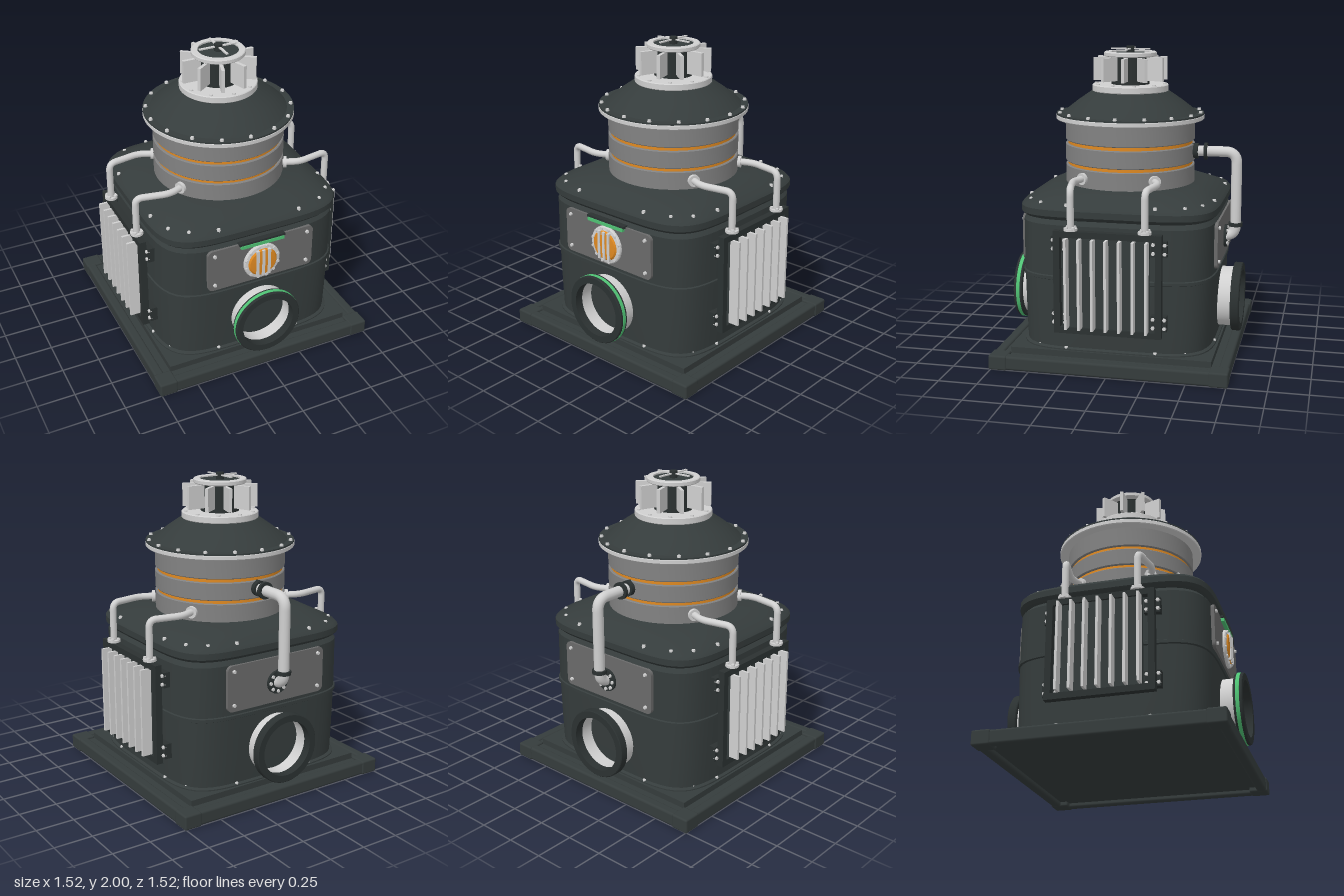
import * as THREE from 'three';
import { toCreasedNormals } from 'three/addons/utils/BufferGeometryUtils.js';
import { RoundedBoxGeometry } from 'three/addons/geometries/RoundedBoxGeometry.js';

const mat = (name, color) => Object.assign(new THREE.MeshStandardMaterial({ color }), { name });

export function createModel() {
  const M = {
    dark: mat('dark green grey', 0x353c3c),
    black: mat('charcoal', 0x2b3131),
    panel: mat('panel grey', 0x6a6a6a),
    drum: mat('drum grey', 0x828282),
    light: mat('light metal', 0xd0d0d0),
    orange: mat('orange', 0xe08a22),
    green: mat('green', 0x4fc274),
  };
  const root = new THREE.Group();
  root.name = 'machine';
  const group = (name, parent = root) => {
    const g = new THREE.Group();
    g.name = name;
    parent.add(g);
    return g;
  };
  const add = (parent, name, geo, m, x = 0, y = 0, z = 0) => {
    const mesh = new THREE.Mesh(geo, m);
    mesh.name = name;
    mesh.position.set(x, y, z);
    parent.add(mesh);
    return mesh;
  };
  const box = (p, name, m, w, h, d, x, y, z) => add(p, name, new THREE.BoxGeometry(w, h, d), m, x, y, z);
  const softBox = (p, name, m, w, h, d, r, x, y, z) => add(p, name, new RoundedBoxGeometry(w, h, d, 3, r), m, x, y, z);
  const lathe = (p, name, m, pts, seg = 64) =>
    add(p, name, toCreasedNormals(new THREE.LatheGeometry(pts.map(q => new THREE.Vector2(...q)), seg), 0.5), m);
  const ringPts = (ri, ro, a, b, c = 0.005) =>
    [[ri, a], [ro - c, a], [ro, a + c], [ro, b - c], [ro - c, b], [ri, b], [ri, a]];
  const UP = new THREE.Vector3(0, 1, 0);
  const aim = (mesh, dir) => { mesh.quaternion.setFromUnitVectors(UP, dir.clone().normalize()); return mesh; };
  const boltGeo = new THREE.CylinderGeometry(0.011, 0.015, 0.022, 6);
  const bolt = (p, x, y, z, dir = UP) => aim(add(p, 'bolt', boltGeo, M.light, x, y, z), dir);

  // Rounded-square shell from horizontal sections [half width, y, squareness]
  const corner = (t, h, n = 5) => {
    const c = Math.cos(t), s = Math.sin(t);
    const r = h / Math.pow(Math.abs(c) ** n + Math.abs(s) ** n, 1 / n);
    return [r * c, r * s];
  };
  const loft = (p, name, m, sections) => {
    const pos = [], idx = [], N = 96;
    sections.forEach(([h, y, n], i) => {
      for (let j = 0; j <= N; j++) {
        const [x, z] = corner(j / N * Math.PI * 2, h, n);
        pos.push(x, y, z);
        if (i && j < N) {
          const c = i * (N + 1) + j, a = c - N - 1;
          idx.push(a, c, a + 1, a + 1, c, c + 1);
        }
      }
    });
    const g = new THREE.BufferGeometry();
    g.setAttribute('position', new THREE.Float32BufferAttribute(pos, 3));
    g.setIndex(idx);
    return add(p, name, toCreasedNormals(g, 0.55), m);
  };

  // Pipe along straight runs with rounded bends
  const pipe = (p, name, r, bend, pts) => {
    const v = pts.map(q => new THREE.Vector3(...q)), path = new THREE.CurvePath();
    let from = v[0];
    for (let i = 1; i < v.length - 1; i++) {
      const a = v[i].clone().add(v[i - 1].clone().sub(v[i]).setLength(bend));
      const b = v[i].clone().add(v[i + 1].clone().sub(v[i]).setLength(bend));
      path.add(new THREE.LineCurve3(from, a));
      path.add(new THREE.QuadraticBezierCurve3(a, v[i], b));
      from = b;
    }
    path.add(new THREE.LineCurve3(from, v[v.length - 1]));
    add(p, name, new THREE.TubeGeometry(path, 90, r, 14), M.light);
  };
  const disc = (p, name, m, r, h, x, y, z, dir = UP) =>
    aim(add(p, name, new THREE.CylinderGeometry(r, r, h, 32), m, x, y, z), dir);

  // Base: recessed floor, rounded edge bars, corner blocks and plinth
  const base = group('base');
  box(base, 'basePlate', M.dark, 1.44, 0.05, 1.44, 0, 0.055, 0);
  box(base, 'plinth', M.dark, 1.29, 0.05, 1.29, 0, 0.095, 0);
  for (const s of [-1, 1]) {
    softBox(base, 'sideBar', M.dark, 0.064, 0.09, 1.34, 0.015, s * 0.724, 0.047, 0);
    softBox(base, 'crossBar', M.dark, 1.34, 0.09, 0.064, 0.015, 0, 0.047, s * 0.724);
    for (const t of [-1, 1])
      softBox(base, 'cornerBlock', M.dark, 0.12, 0.095, 0.12, 0.012, s * 0.702, 0.0475, t * 0.702);
  }

  // Rounded square body, waist band and lid
  const body = group('body');
  loft(body, 'shell', M.dark, [[0.632, 0.11], [0.632, 0.128], [0.615, 0.136], [0.62, 0.3], [0.625, 0.575],
    [0.634, 0.58], [0.634, 0.6], [0.626, 0.605], [0.625, 0.93], [0.6, 0.965]]);
  loft(body, 'lid', M.dark, [[0.595, 0.955], [0.62, 0.965], [0.638, 0.985], [0.638, 1.025], [0.622, 1.045],
    [0.55, 1.083, 4], [0.485, 1.12, 3], [0, 1.12, 3]]);
  for (const [a, b] of [[0.6, 0.28], [0.555, 0.457], [0.457, 0.55], [0.28, 0.6]])
    for (const s of [-1, 1]) for (const t of [-1, 1]) {
      bolt(body, s * a, 1.055, t * b);
      bolt(body, s * a * 1.025, 0.13, t * b * 1.025);
    }

  // Banded drum, flange and sloping roof
  const drum = group('drum');
  lathe(drum, 'orangeCore', M.orange, [[0.412, 1.12], [0.412, 1.5]]);
  for (const [a, b] of [[1.11, 1.237], [1.258, 1.374], [1.396, 1.535]])
    lathe(drum, 'drumBand', M.drum, ringPts(0.4, 0.427, a, b));
  lathe(drum, 'flange', M.light, ringPts(0.4, 0.487, 1.53, 1.562));
  lathe(drum, 'roof', M.dark, [[0.485, 1.56], [0.485, 1.57], [0.44, 1.572], [0.43, 1.582], [0.345, 1.648],
    [0.255, 1.71], [0, 1.72]]);
  for (let i = 0; i < 16; i++) {
    const a = i * Math.PI / 8;
    bolt(drum, 0.466 * Math.sin(a), 1.574, 0.466 * Math.cos(a));
  }

  // Finned vent on top
  const vent = group('vent');
  lathe(vent, 'collar', M.light, ringPts(0, 0.25, 1.71, 1.755));
  lathe(vent, 'ventCore', M.black, [[0.125, 1.75], [0.125, 1.945], [0, 1.945]], 32);
  lathe(vent, 'capRing', M.light, ringPts(0.13, 0.172, 1.935, 1.965));
  disc(vent, 'grille', M.dark, 0.132, 0.02, 0, 1.945, 0);
  for (let i = 0; i < 10; i++) {
    const spoke = group('fin', vent), a = i * Math.PI / 5;
    spoke.rotation.y = a + Math.PI / 10;
    box(spoke, 'finPlate', M.light, 0.022, 0.15, 0.135, 0, 1.855, 0.175);
    bolt(vent, 0.228 * Math.sin(a), 1.752, 0.228 * Math.cos(a));
  }
  box(vent, 'spoke', M.light, 0.26, 0.008, 0.016, 0, 1.983, 0);
  box(vent, 'spoke', M.light, 0.016, 0.008, 0.26, 0, 1.983, 0);
  disc(vent, 'hub', M.black, 0.026, 0.05, 0, 1.975, 0);

  // Panel and round port, on both the front and the back
  const plate = new THREE.Shape();
  const w = 0.37, h = 0.15, r = 0.035;
  plate.absarc(w - r, h - r, r, 0, Math.PI / 2);
  plate.absarc(r - w, h - r, r, Math.PI / 2, Math.PI);
  plate.absarc(r - w, r - h, r, Math.PI, Math.PI * 1.5);
  plate.absarc(w - r, r - h, r, Math.PI * 1.5, Math.PI * 2);
  const Z = new THREE.Vector3(0, 0, 1);
  const makeEnd = name => {
    const end = group(name);
    add(end, 'panel', new THREE.ExtrudeGeometry(plate, { depth: 0.048, bevelEnabled: false }), M.panel, 0, 0.78, 0.59);
    for (const x of [-0.325, 0.325]) for (const y of [0.672, 0.892]) bolt(end, x, y, 0.64, Z);
    const port = group('port', end);
    port.position.y = 0.35;
    port.rotation.x = Math.PI / 2;
    lathe(port, 'portNeck', M.light, ringPts(0.181, 0.197, 0.6, 0.72));
    lathe(port, 'portFlange', M.black, ringPts(0.18, 0.228, 0.705, 0.762));
    return end;
  };
  const front = makeEnd('frontEnd');
  makeEnd('backEnd').rotation.y = Math.PI;
  lathe(front.getObjectByName('port'), 'greenBand', M.green, ringPts(0.22, 0.23, 0.72, 0.744, 0.001));

  // Round domed gauge and lamp on the front panel
  const gauge = group('gauge', front);
  gauge.position.set(0, 0.77, 0);
  const dial = group('dial', gauge);
  dial.rotation.x = Math.PI / 2;
  lathe(dial, 'bezel', M.light, [[0.126, 0.62], [0.126, 0.65], [0.12, 0.656], [0.1, 0.66], [0.096, 0.64]]);
  lathe(dial, 'gaugeFace', M.orange, [[0.1, 0.64], [0.1, 0.66], [0.09, 0.669], [0.05, 0.673], [0, 0.674]]);
  for (const x of [-0.04, 0, 0.04])
    box(gauge, 'gaugeBar', M.light, 0.02, 0.19, 0.03, x, 0, 0.662);
  for (let i = 0; i < 12; i++) {
    const a = (i + 0.5) * Math.PI / 6;
    bolt(gauge, 0.113 * Math.cos(a), 0.113 * Math.sin(a), 0.652, Z);
  }
  box(front, 'lampHousing', M.black, 0.32, 0.016, 0.04, 0, 0.932, 0.635);
  box(front, 'lamp', M.green, 0.3, 0.022, 0.03, 0, 0.914, 0.645);

  // Side radiators with brackets and feed pipes
  for (const s of [1, -1]) {
    const rad = group(s > 0 ? 'leftRadiator' : 'rightRadiator');
    const X = new THREE.Vector3(s, 0, 0);
    box(rad, 'core', M.dark, 0.03, 0.6, 0.52, s * 0.675, 0.588, 0);
    for (const y of [0.28, 0.895]) box(rad, 'frameBar', M.black, 0.045, 0.04, 0.68, s * 0.682, y, 0);
    for (let i = -3; i <= 3; i++)
      box(rad, 'coolingFin', M.light, 0.07, 0.575, 0.016, s * 0.725, 0.588, i * 0.084);
    for (const t of [-1, 1]) {
      box(rad, 'frameRail', M.black, 0.045, 0.655, 0.04, s * 0.682, 0.588, t * 0.32);
      for (const y of [0.345, 0.82]) {
        box(rad, 'bracket', M.black, 0.05, 0.1, 0.1, s * 0.635, y, t * 0.315);
        for (const dy of [-0.028, 0.028]) for (const z of [0.28, 0.352]) bolt(rad, s * 0.66, y + dy, t * z, X);
      }
      pipe(rad, 'feedPipe', 0.022, 0.05, [[s * 0.34, 1.18, t * 0.22], [s * 0.46, 1.18, t * 0.272],
        [s * 0.68, 1.18, t * 0.232], [s * 0.68, 0.91, t * 0.232]]);
      disc(rad, 'pipeFoot', M.light, 0.042, 0.016, s * 0.68, 0.925, t * 0.232);
      disc(rad, 'pipeCollar', M.light, 0.038, 0.02, s * 0.373, 1.18, t * 0.235, new THREE.Vector3(s * 0.85, 0, t * 0.45));
      for (let i = 0; i < 4; i++) {
        const a = (i + 0.5) * Math.PI / 2;
        bolt(rad, s * 0.68 + 0.03 * Math.cos(a), 0.932, t * 0.232 + 0.03 * Math.sin(a));
      }
    }
  }

  // Large pipe from the drum down the back
  const back = group('backPipe');
  pipe(back, 'exhaustPipe', 0.035, 0.075, [[0, 1.325, -0.4], [0, 1.325, -0.708], [0, 0.765, -0.708], [0, 0.765, -0.61]]);
  disc(back, 'drumCollar', M.black, 0.055, 0.02, 0, 1.325, -0.505, Z);
  disc(back, 'drumSeat', M.black, 0.05, 0.05, 0, 1.325, -0.43, Z);
  disc(back, 'pipeJoint', M.black, 0.047, 0.024, 0, 0.845, -0.708);
  disc(back, 'wallCollar', M.black, 0.075, 0.02, 0, 0.765, -0.645, Z);
  for (let i = 0; i < 8; i++) {
    const a = i * Math.PI / 4;
    bolt(back, 0.058 * Math.cos(a), 0.765 + 0.058 * Math.sin(a), -0.653, Z.clone().negate());
  }
  return root;
}
